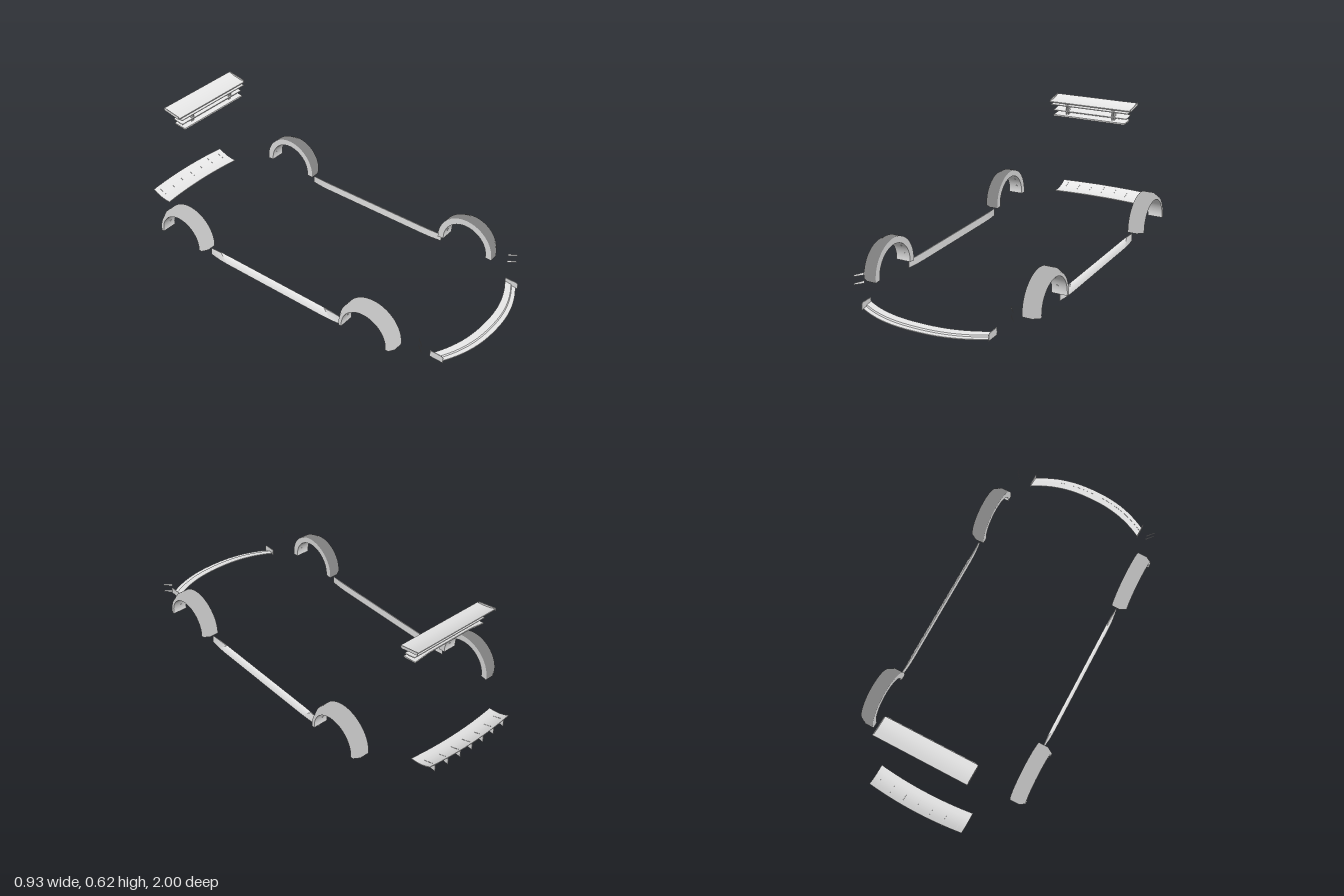
import * as THREE from 'three';
import { toCreasedNormals } from 'three/addons/utils/BufferGeometryUtils.js';

const white = new THREE.MeshStandardMaterial({ color: 0xf8f8f8, side: THREE.DoubleSide });
white.name = 'primer white';

// Joins closed cross-sections (arrays of [x, y, z]) into a capped solid
function loft(sections, crease = 0.5) {
  const n = sections[0].length, first = sections[0], idx = [];
  for (let i = 0; i < sections.length - 1; i++) {
    for (let j = 0; j < n; j++) {
      const a = i * n + j, b = i * n + (j + 1) % n;
      idx.push(a, b, a + n, b, b + n, a + n);
    }
  }
  // Caps, flattened on their two widest axes
  const span = k => Math.max(...first.map(p => p[k])) - Math.min(...first.map(p => p[k]));
  const [, u, v] = [0, 1, 2].sort((p, q) => span(p) - span(q));
  const last = (sections.length - 1) * n;
  THREE.ShapeUtils.triangulateShape(first.map(p => new THREE.Vector2(p[u], p[v])), [])
    .forEach(([a, b, c]) => idx.push(a, c, b, last + a, last + b, last + c));
  const g = new THREE.BufferGeometry();
  g.setAttribute('position', new THREE.Float32BufferAttribute(sections.flat(2), 3));
  g.setIndex(idx);
  return toCreasedNormals(g, crease);
}

function add(parent, name, geometry) {
  const mesh = new THREE.Mesh(geometry, white);
  mesh.name = name;
  parent.add(mesh);
  return mesh;
}

const range = (a, b, n) => Array.from({ length: n + 1 }, (_, i) => a + (b - a) * i / n);

// Curved sheet section in (z, y), thickened downwards
const sheet = (pts, t) => [...pts, ...pts.slice().reverse().map(([z, y]) => [z, y - t])];

// Straight wing element across the car, with a curved chord
const blade = (half, pts, t) =>
  loft([-half, half].map(x => sheet(pts, t).map(([z, y]) => [x, y, z])));

// Wheel arch flare with bolts inside
function arch(zc, inner, outer, name) {
  const g = new THREE.Group();
  g.name = name;
  const yc = 0.057;
  const profile = [[inner, 0.125], [inner, 0.158], [outer - 0.03, 0.158], [outer, 0.141], [outer, 0.125]];
  const flare = loft(range(-0.085, Math.PI + 0.085, 36).map(a =>
    profile.map(([x, r]) => [x, yc + r * Math.sin(a), zc + r * Math.cos(a)])));
  // The outer skin shares the sideways normal of the flank, so it shades as one surface
  const p = flare.attributes.position, nor = flare.attributes.normal;
  for (let i = 0; i < p.count; i++) {
    const y = p.getY(i) - yc, z = p.getZ(i) - zc;
    const radial = (nor.getY(i) * y + nor.getZ(i) * z) / Math.hypot(y, z);
    if (Math.abs(radial) > 0.3 && Math.hypot(y, z) > 0.135) {
      nor.setXYZ(i, Math.sign(radial), 0, 0);
    }
  }
  // Chamfer corners next to the flank
  add(g, 'archFlare', flare);
  for (const a of range(0.25, Math.PI - 0.25, 6)) {
    const bolt = add(g, 'archBolt', new THREE.CylinderGeometry(0.005, 0.005, 0.004, 8));
    bolt.position.set(inner + 0.03, yc + 0.125 * Math.sin(a), zc + 0.125 * Math.cos(a));
    bolt.rotation.x = Math.PI / 2 - a;
  }
  return g;
}

// All parts of one side, built on +x
function side(name) {
  const g = new THREE.Group();
  g.name = name;
  g.add(arch(0.578, 0.38, 0.458, 'frontArch'), arch(-0.57, 0.386, 0.464, 'rearArch'));

  // Side skirt, narrowing at both ends
  const skirt = [[-0.415, 0.15], [-0.35, 0.85], [-0.3, 1], [0.31, 1], [0.36, 0.85], [0.425, 0.15]];
  add(g, 'sideSkirt', loft(skirt.map(([z, w]) =>
    [[-0.01, 0], [0.011, 0], [-0.002, 0.04], [-0.007, 0.04]]
      .map(([x, y]) => [0.408 + x * w, y, z])), 1.3));

  // Small upright dive planes ahead of the front wheel, set diagonally
  for (const y of [0.08, 0.12]) {
    const shape = new THREE.Shape([[0, 0], [0.05, 0], [0.045, 0.009], [0.022, 0.011], [0, 0.014]]
      .map(c => new THREE.Vector2(...c)));
    const plane = add(g, 'divePlane', new THREE.ShapeGeometry(shape));
    plane.position.set(0.377, y, 0.826);
    plane.rotation.y = -0.88;
  }
  return g;
}

function splitter() {
  const g = new THREE.Group();
  g.name = 'frontSplitter';
  const half = 0.325;
  // Offset back from the leading edge, height
  const section = [[0, 0], [0, 0.004], [0.022, 0.005], [0.026, 0.012],
    [0.06, 0.015], [0.06, 0.011], [0.03, 0]];
  add(g, 'splitterLip', loft(range(-half, half, 24).map(x => {
    const u = Math.abs(x) / half, edge = 0.998 - 0.085 * Math.pow(u, 2.3);
    return section.map(([d, y]) => [x, y, edge - d]);
  })));
  for (const s of [-1, 1]) {
    const plate = add(g, 'splitterEndPlate', loft([half - 0.003, half].map(x =>
      [[x, 0, 0.925], [x, 0.028, 0.925], [x, 0.035, 0.915], [x, 0.035, 0.855], [x, 0, 0.855]])));
    plate.scale.x = s;
  }
  return g;
}

function diffuser() {
  const g = new THREE.Group();
  g.name = 'rearDiffuser';
  const half = 0.257;
  const bow = x => 0.016 * Math.pow(Math.abs(x) / half, 2);
  const profile = [[-0.885, 0.034], [-0.915, 0.036], [-0.945, 0.042], [-0.975, 0.053], [-0.999, 0.066]];
  add(g, 'diffuserPanel', loft(range(-half, half, 16).map(x =>
    sheet(profile, 0.004).map(([z, y]) => [x, y, z + bow(x)]))));
  // Vertical fins, just breaking through the panel
  for (let i = -3; i <= 3; i++) {
    const x = i * 0.0745, b = bow(x);
    add(g, 'diffuserFin', loft([x - 0.001, x + 0.001].map(fx =>
      [[-0.895, 0.031], [-0.925, 0.037], [-0.955, 0.047], [-0.997, 0.063], [-0.997, 0.019], [-0.94, 0.024]]
        .map(([z, y]) => [fx, y, z + b]))));
  }
  return g;
}

function rearWing() {
  const g = new THREE.Group();
  g.name = 'rearWing';
  add(g, 'upperElement', blade(0.238, [[-0.747, 0.592], [-0.78, 0.594], [-0.82, 0.602], [-0.853, 0.614]], 0.005));
  add(g, 'secondElement', blade(0.228, [[-0.742, 0.578], [-0.765, 0.579], [-0.8, 0.584], [-0.832, 0.592]], 0.004));
  add(g, 'thirdElement', blade(0.217, [[-0.755, 0.545], [-0.785, 0.549], [-0.815, 0.556]], 0.004));
  // Base, rising towards its middle
  add(g, 'wingBase', loft([[-0.212, 0], [-0.13, 0.011], [0.13, 0.011], [0.212, 0]].map(([x, h]) =>
    [[x, 0.513, -0.745], [x, 0.521, -0.745], [x, 0.528 + h, -0.815], [x, 0.522 + h, -0.815]])));
  for (const s of [-1, 1]) {
    const plate = add(g, 'wingEndPlate', loft([0.238, 0.241].map(x =>
      [[x, 0.583, -0.757], [x, 0.598, -0.752], [x, 0.617, -0.853], [x, 0.602, -0.853]])));
    plate.scale.x = s;
    // Pairs of slim posts
    for (const px of [0.131, 0.142]) {
      const post = add(g, 'wingPost', loft([px - 0.0025, px + 0.0025].map(x =>
        [[x, 0.512, -0.765], [x, 0.59, -0.755], [x, 0.59, -0.775], [x, 0.512, -0.79]])));
      post.scale.x = s;
    }
  }
  return g;
}

export function createModel() {
  const model = new THREE.Group();
  model.name = 'bodyKit';
  const right = side('rightSide');
  right.scale.x = -1;
  model.add(side('leftSide'), right, splitter(), diffuser(), rearWing());
  return model;
}
